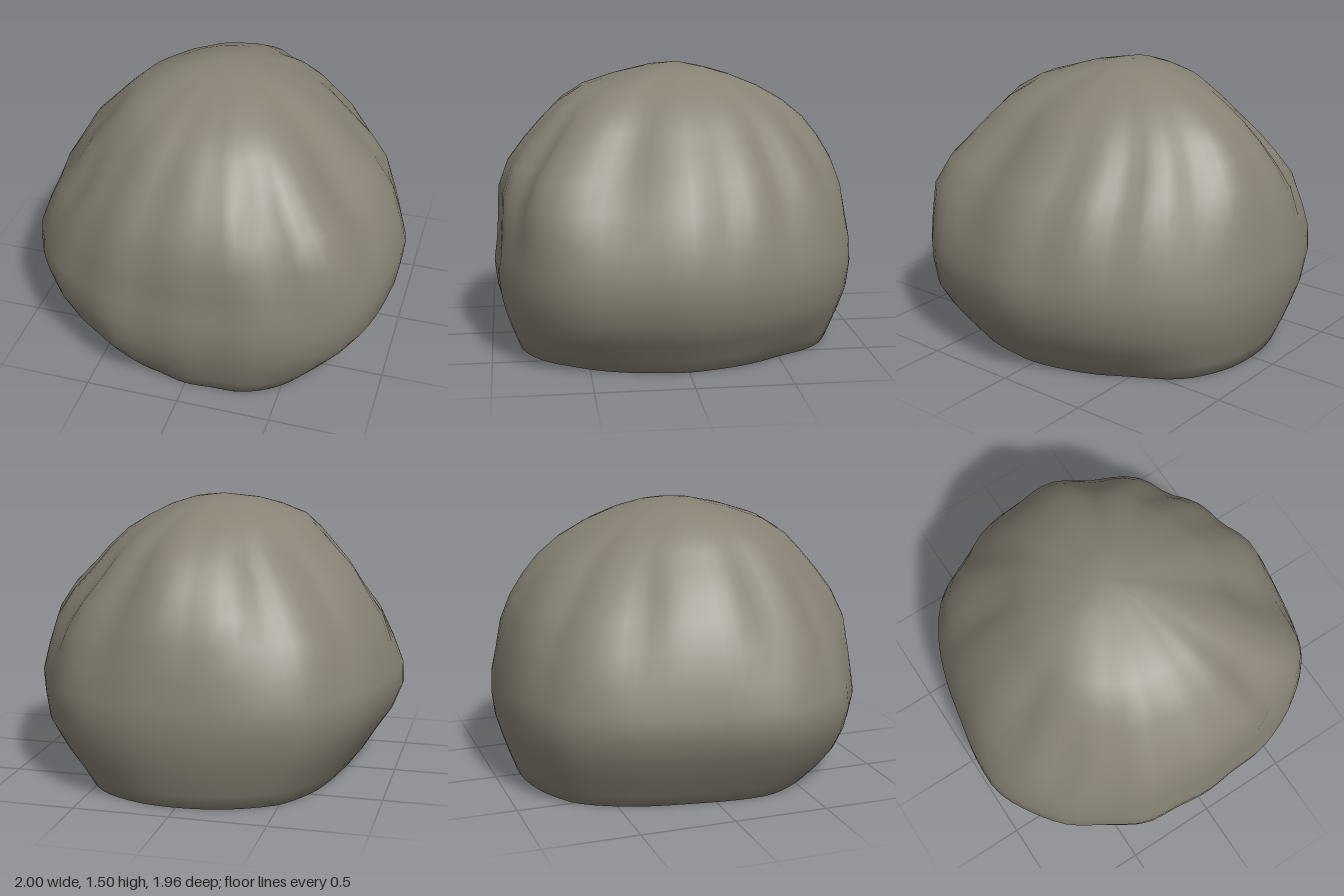
import * as THREE from 'three';

// Levels from base to crown: height, then reach towards +x, -x, +z, -z
const LEVELS = [
  [0, 0.77, 0.75, 0.87, 0.86],
  [0.08, 0.82, 0.81, 0.90, 0.89],
  [0.18, 0.89, 0.87, 0.935, 0.925],
  [0.30, 0.97, 0.95, 0.965, 0.96],
  [0.43, 0.99, 1.00, 0.98, 0.975],
  [0.54, 1.00, 1.00, 0.965, 0.97],
  [0.68, 0.965, 0.96, 0.955, 0.945],
  [0.84, 0.915, 0.92, 0.95, 0.92],
  [0.98, 0.82, 0.84, 0.90, 0.87],
  [1.10, 0.70, 0.77, 0.81, 0.80],
  [1.20, 0.61, 0.67, 0.72, 0.72],
  [1.29, 0.51, 0.58, 0.63, 0.61],
  [1.37, 0.38, 0.49, 0.50, 0.47],
  [1.43, 0.26, 0.36, 0.32, 0.32],
  [1.47, 0.14, 0.24, 0.15, 0.18],
];

// Plan outline (x, z) at the widest level
const OUTLINE = [
  [1, 0], [0.99, 0.15], [0.95, 0.4], [0.88, 0.6], [0.75, 0.76], [0.6, 0.86], [0.38, 0.94],
  [0.2, 0.95], [0, 0.97], [-0.2, 0.95], [-0.4, 0.93], [-0.6, 0.82], [-0.78, 0.7], [-0.95, 0.46],
  [-1, 0.33], [-1, 0.13], [-0.95, -0.15], [-0.92, -0.3], [-0.85, -0.52], [-0.68, -0.78],
  [-0.55, -0.86], [-0.38, -0.93], [-0.13, -0.98], [0.15, -0.98], [0.3, -0.95], [0.5, -0.87],
  [0.6, -0.8], [0.7, -0.7], [0.83, -0.5], [0.92, -0.3],
];

// Relief: angle, half width (degrees), depth (negative bulges), height, half height
const RELIEF = [
  // broad slopes worn off the corners
  [-135, 28, 0.15, 1.25, 0.32], [135, 24, 0.08, 1.05, 0.3],
  [43, 12, -0.03, 0.85, 0.25], [-45, 22, 0.03, 1.2, 0.3],
  // weathered grooves
  [22, 11, 0.09, 1.1, 0.35], [58, 8, 0.08, 1.05, 0.3], [104, 8, 0.025, 1.1, 0.3],
  [143, 6, 0.04, 0.95, 0.22], [163, 10, 0.09, 1.1, 0.32], [-152, 7, 0.04, 1.0, 0.3],
  [-122, 7, 0.04, 1.05, 0.3], [-95, 6, 0.02, 1.1, 0.3], [-63, 10, 0.08, 1.1, 0.33],
  [-35, 7, 0.05, 1.0, 0.3], [-12, 6, 0.03, 0.95, 0.3],
  // tucks at the foot
  [125, 28, 0.08, 0, 0.09], [38, 14, 0.04, 0, 0.08], [-38, 12, 0.03, 0, 0.1],
];

const bell = (d, w) => Math.exp(-(d * d) / (w * w));
const angleGap = (a, b) => ((a - b + 540) % 360) - 180;

// Factor that moves the surface in or out by the relief
const carve = (angle, y) => RELIEF.reduce(
  (f, [a, w, depth, h, hw]) => f - depth * bell(angleGap(angle, a), w) * bell(y - h, hw), 1);

function boulderGeometry() {
  const N = 80;
  const curve = new THREE.CatmullRomCurve3(
    OUTLINE.map(([x, z]) => new THREE.Vector3(x, 0, z)), true);
  const plan = curve.getSpacedPoints(N).slice(0, N);
  const pos = [];
  const index = [];

  const addRing = ([y, right, left, front, back], inset = 1) => {
    for (const p of plan) {
      const f = inset * carve(THREE.MathUtils.radToDeg(Math.atan2(p.z, p.x)), y);
      const x = p.x * (p.x > 0 ? right : left) * f;
      const z = p.z * (p.z > 0 ? front / 0.97 : back / 0.98) * f;
      pos.push(x, y, z);
    }
  };

  // Underside, sides and crown as one smooth skin
  pos.push(0, 0, 0);
  addRing(LEVELS[0], 0.88);
  LEVELS.forEach((level) => addRing(level));
  const rings = LEVELS.length + 1;
  const crown = pos.length / 3;
  pos.push(-0.04, 1.5, -0.03);

  for (let i = 0; i < N; i++) {
    const j = (i + 1) % N;
    index.push(0, 1 + i, 1 + j);
    for (let r = 0; r < rings - 1; r++) {
      const a = 1 + r * N;
      const b = a + N;
      index.push(a + i, b + i, a + j, a + j, b + i, b + j);
    }
    const top = 1 + (rings - 1) * N;
    index.push(top + i, crown, top + j);
  }

  const geo = new THREE.BufferGeometry();
  geo.setAttribute('position', new THREE.Float32BufferAttribute(pos, 3));
  geo.setIndex(index);
  geo.computeVertexNormals();
  return geo;
}

export function createModel() {
  const group = new THREE.Group();
  group.name = 'rock';
  const stone = new THREE.MeshStandardMaterial({ color: 0x878274 });
  stone.name = 'greyStone';
  const boulder = new THREE.Mesh(boulderGeometry(), stone);
  boulder.name = 'boulder';
  group.add(boulder);
  return group;
}
